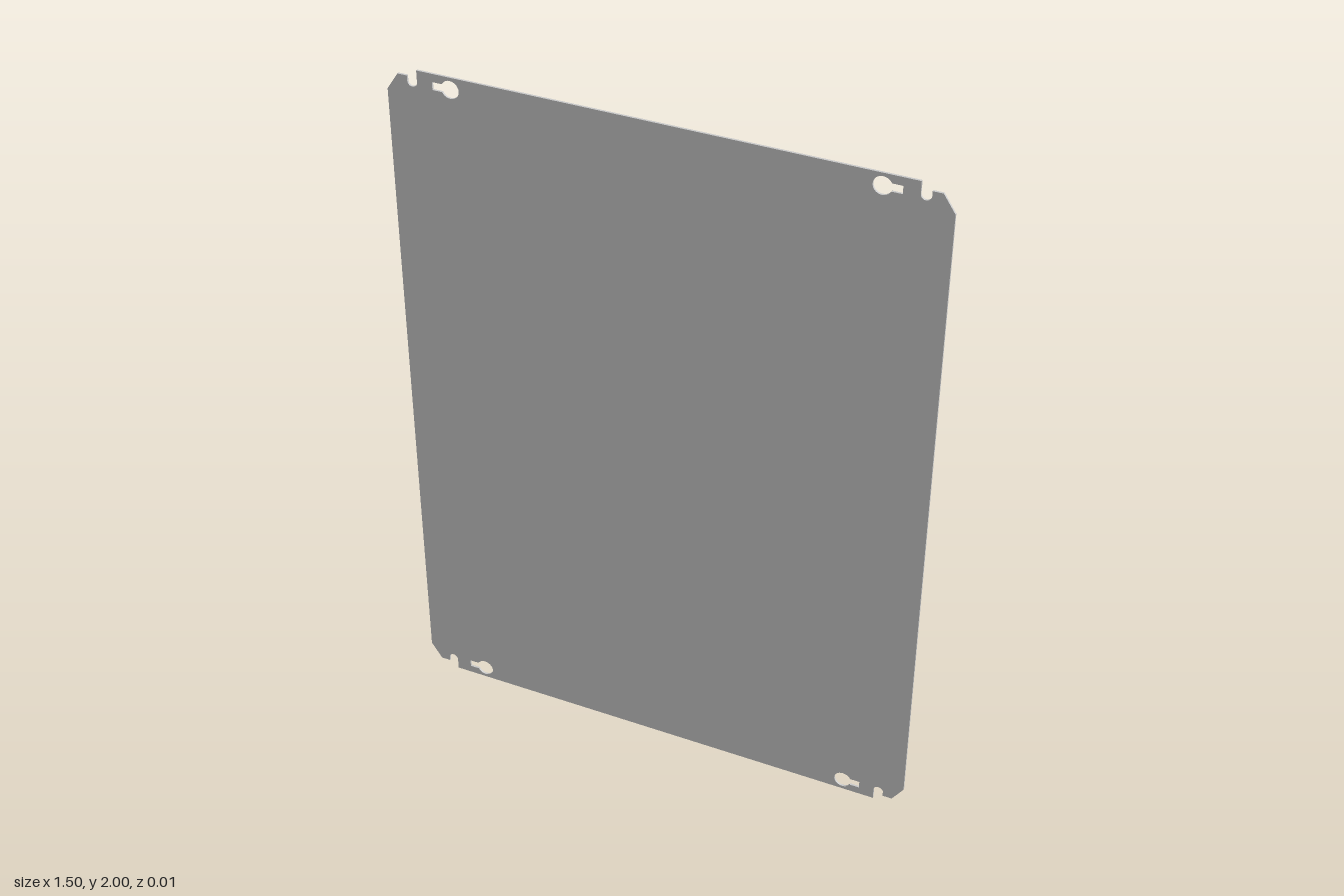
import * as THREE from 'three';

const HALF_W = 0.75, HALF_H = 1, THICK = 0.006;

// Points along an arc, angles in radians
function arc(cx, cy, r, from, to, steps) {
  return Array.from({ length: steps + 1 }, (_, i) => {
    const a = from + ((to - from) * i) / steps;
    return new THREE.Vector2(cx + r * Math.cos(a), cy + r * Math.sin(a));
  });
}

// Mirror points into a quadrant; one flip reverses the winding, so reverse the order
function mirror(points, sx, sy) {
  const out = points.map((p) => new THREE.Vector2(p.x * sx, p.y * sy));
  return sx * sy < 0 ? out.reverse() : out;
}

export function createModel() {
  const group = new THREE.Group();
  group.name = 'mountingPlate';

  // One corner, counterclockwise: chamfer, lowered tab, round-bottomed open slot, top edge
  const slotX = 0.677, slotR = 0.014, slotY = 0.966;
  const corner = [
    new THREE.Vector2(HALF_W, 0.932),
    new THREE.Vector2(0.718, 0.98),
    new THREE.Vector2(slotX + slotR, 0.98),
    ...arc(slotX, slotY, slotR, 0, -Math.PI, 12),
    new THREE.Vector2(slotX - slotR, HALF_H),
  ];

  // Keyhole: round head towards the centre, narrow neck towards the side
  const headR = 0.025, neck = 0.011, a = Math.asin(neck / headR);
  const keyX = 0.57, keyY = 0.966;
  const keyhole = [
    ...arc(keyX, keyY, headR, a, Math.PI * 2 - a, 24),
    new THREE.Vector2(0.62, keyY - neck),
    new THREE.Vector2(0.62, keyY + neck),
  ];

  const quadrants = [[1, 1], [-1, 1], [-1, -1], [1, -1]];
  const outline = new THREE.Shape(quadrants.flatMap(([sx, sy]) => mirror(corner, sx, sy)));
  for (const [sx, sy] of quadrants) outline.holes.push(new THREE.Path(mirror(keyhole, sx, sy)));

  // Thin sheet standing upright
  const geometry = new THREE.ExtrudeGeometry(outline, { depth: THICK, bevelEnabled: false });
  geometry.translate(0, HALF_H, -THICK / 2);
  const plate = new THREE.Mesh(geometry, new THREE.MeshStandardMaterial({ color: 0xcccccc }));
  plate.name = 'plate';
  group.add(plate);
  return group;
}
